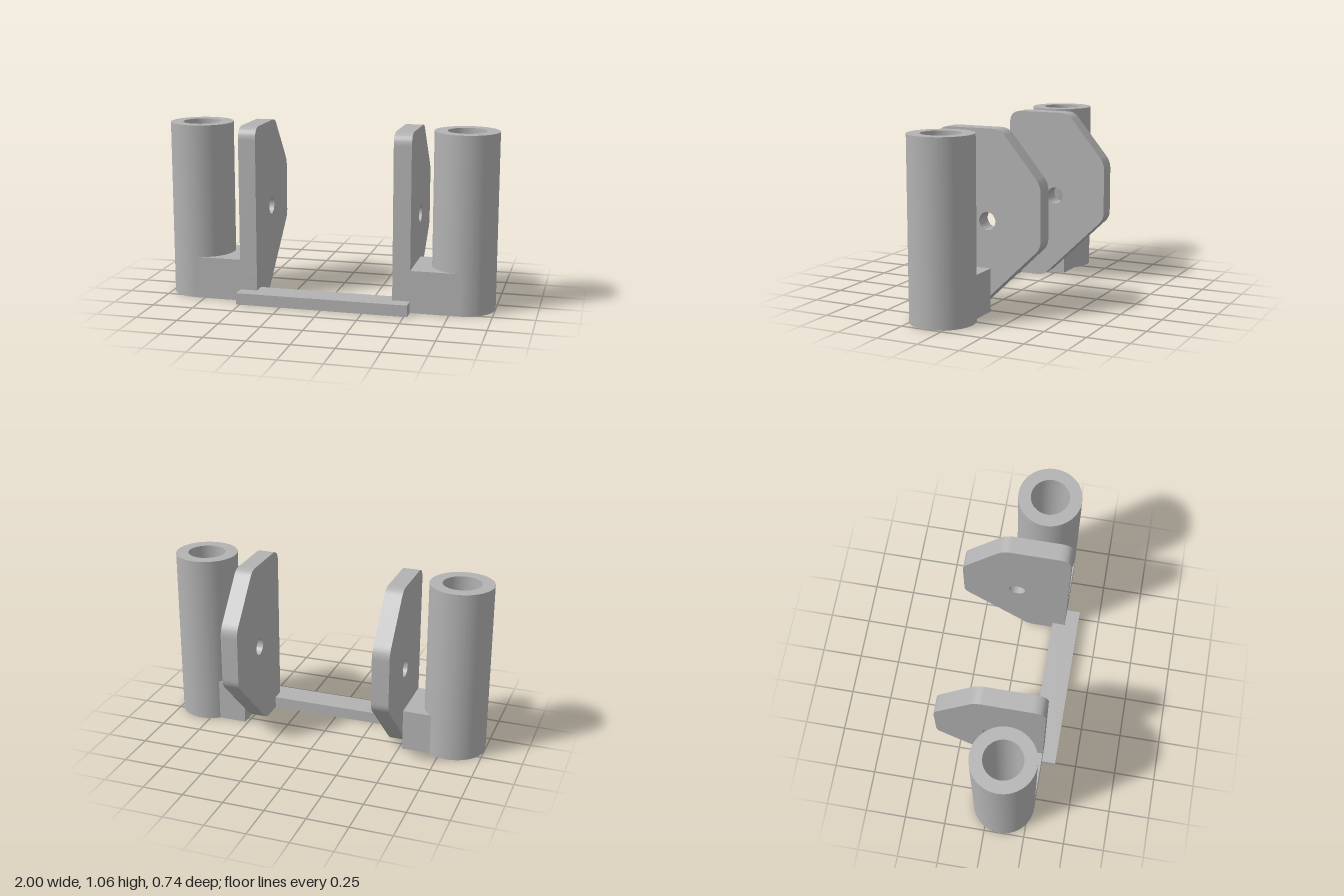
import * as THREE from 'three';
import { toCreasedNormals } from 'three/addons/utils/BufferGeometryUtils.js';

const HEIGHT = 1.06;
const TUBE = { x: 0.81, z: 0.095, outer: 0.19, bore: 0.115 };

const grey = new THREE.MeshStandardMaterial({ color: 0xb2b2b2 });
grey.name = 'grey';

function extrude(shape, depth, curveSegments) {
  return new THREE.ExtrudeGeometry(shape, { depth, bevelEnabled: false, curveSegments });
}

// Extrudes a plan outline (x, -z) upwards from the ground
function extrudeUp(shape, height, segments) {
  return toCreasedNormals(extrude(shape, height, segments).rotateX(-Math.PI / 2), 0.6);
}

function addMesh(parent, name, geometry) {
  const mesh = new THREE.Mesh(geometry, grey);
  mesh.name = name;
  parent.add(mesh);
  return mesh;
}

// Polygon whose corners [u, v, t] are rounded off over the length t
function roundedShape(corners) {
  const shape = new THREE.Shape();
  const n = corners.length;
  const points = corners.map(([u, v]) => new THREE.Vector2(u, v));
  corners.forEach(([, , t], i) => {
    const p = points[i];
    const toward = (q) => q.clone().sub(p).setLength(t).add(p);
    const a = t ? toward(points[(i + n - 1) % n]) : p;
    const b = t ? toward(points[(i + 1) % n]) : p;
    if (i === 0) shape.moveTo(a.x, a.y);
    else shape.lineTo(a.x, a.y);
    if (t) shape.quadraticCurveTo(p.x, p.y, b.x, b.y);
  });
  shape.closePath();
  return shape;
}

// Upright tube, open at both ends
function tubeGeometry(side) {
  const ring = new THREE.Shape();
  ring.absarc(side * TUBE.x, -TUBE.z, TUBE.outer, 0, Math.PI * 2);
  const bore = new THREE.Path();
  bore.absarc(side * TUBE.x, -TUBE.z, TUBE.bore, 0, Math.PI * 2);
  ring.holes.push(bore);
  return extrudeUp(ring, HEIGHT, 64);
}

// Upright side plate with a pivot hole, profile in (-z, y)
function plateGeometry(side) {
  const profile = roundedShape([
    [-0.285, 0, 0],
    [-0.045, 0, 0.04],
    [0.37, 0.4, 0.04],
    [0.37, 0.757, 0.045],
    [0.12, HEIGHT, 0.045],
    [-0.285, HEIGHT, 0.08],
  ]);
  const hole = new THREE.Path();
  hole.absarc(0.035, 0.53, 0.052, 0, Math.PI * 2);
  profile.holes.push(hole);
  const geometry = extrude(profile, 0.105, 24).rotateY(Math.PI / 2);
  geometry.translate(side > 0 ? 0.415 : -0.52, 0, 0);
  return toCreasedNormals(geometry, 0.6);
}

// Low block between plate and tube, its end hollowed to fit the tube wall
function blockGeometry(side) {
  const outline = [[0.52, 0.055], [0.52, -0.285]];
  const start = Math.PI * 1.5;
  const end = Math.PI - Math.asin(0.15 / TUBE.outer);
  for (let i = 0; i <= 24; i++) {
    const a = start + (end - start) * (i / 24);
    outline.push([TUBE.x + Math.cos(a) * TUBE.outer, -TUBE.z + Math.sin(a) * TUBE.outer]);
  }
  const shape = new THREE.Shape(outline.map(([x, v]) => new THREE.Vector2(side * x, v)));
  return extrudeUp(shape, 0.255, 1);
}

export function createModel() {
  const model = new THREE.Group();
  model.name = 'bracket';

  for (const [label, side] of [['left', 1], ['right', -1]]) {
    const half = new THREE.Group();
    half.name = `${label}Side`;
    addMesh(half, `${label}Tube`, tubeGeometry(side));
    addMesh(half, `${label}Plate`, plateGeometry(side));
    addMesh(half, `${label}Block`, blockGeometry(side));
    model.add(half);
  }

  // Bar joining the two sides along the front
  addMesh(model, 'crossBar', new THREE.BoxGeometry(1.04, 0.07, 0.165)).position.set(0, 0.035, 0.2875);

  return model;
}
